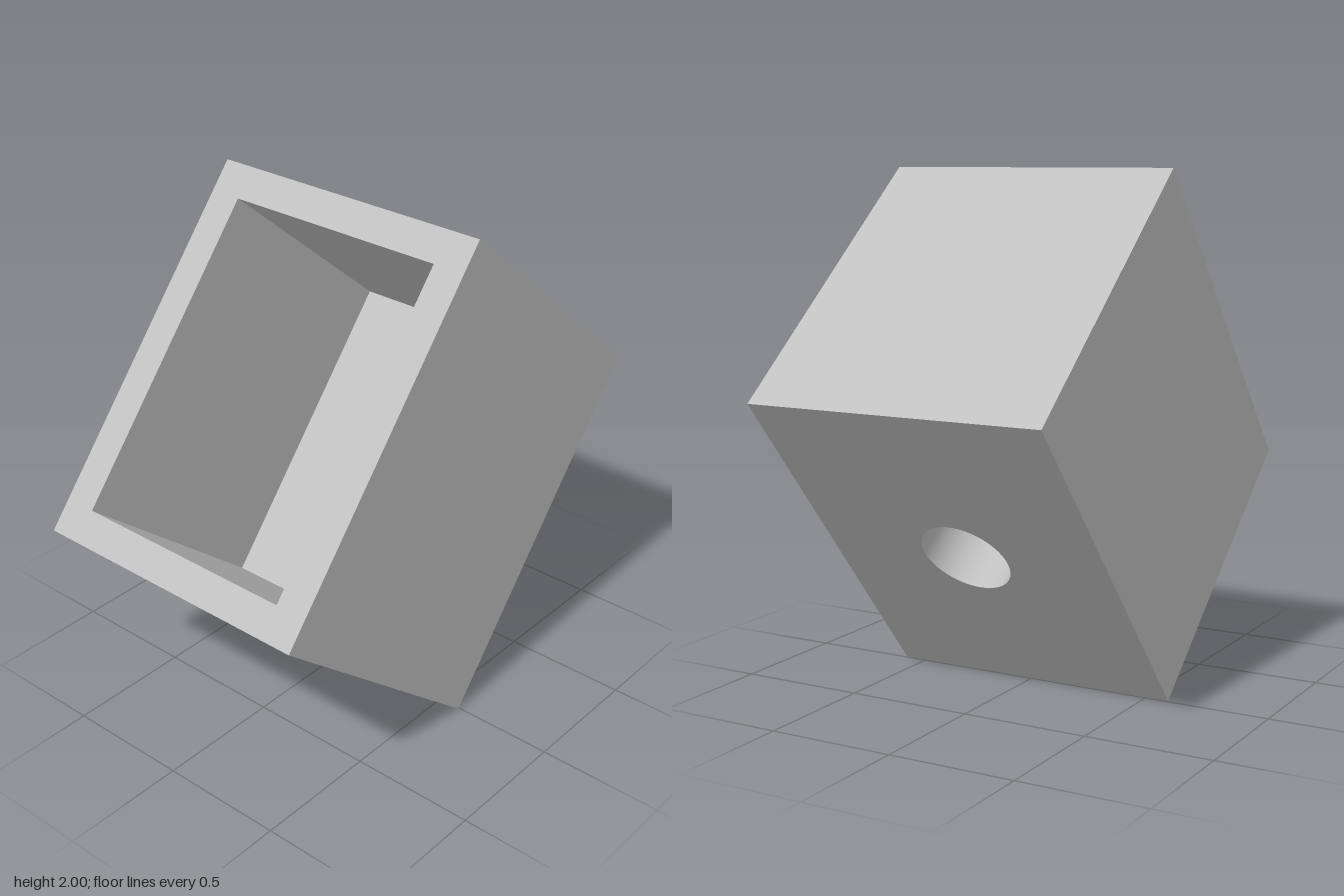
import * as THREE from 'three';

const W = 1.185, H = 1.54, D = 1.275;   // outer size
const WALL = 0.13, CAVITY = 1.01;       // side wall thickness, cavity depth
const BORE = 0.178;                     // radius of the hole in the back wall
const IW = W - 2 * WALL, IH = H - 2 * WALL;
const FLOOR_Z = D / 2 - CAVITY;

function rect(w, h, Type = THREE.Shape) {
  return new Type([[-1, -1], [1, -1], [1, 1], [-1, 1]]
    .map(([x, y]) => new THREE.Vector2(x * w / 2, y * h / 2)));
}

// flat rectangle with one hole, facing +z
function plate(w, h, hole) {
  const shape = rect(w, h);
  shape.holes.push(hole);
  return new THREE.ShapeGeometry(shape, 32);
}

// four sides of a box, without front and back
function sleeve(w, h, d) {
  const g = new THREE.BoxGeometry(w, h, d);
  g.setIndex(Array.from(g.index.array).slice(0, 24));
  g.clearGroups();
  return g;
}

// turn a surface inside out
function flip(g) {
  g.setIndex(Array.from(g.index.array).reverse());
  const n = g.attributes.normal;
  for (let i = 0; i < n.count; i++) n.setXYZ(i, -n.getX(i), -n.getY(i), -n.getZ(i));
  return g;
}

export function createModel() {
  const model = new THREE.Group();
  model.name = 'tiltedBox';
  const gray = new THREE.MeshStandardMaterial({ color: 0xc0c0c0 });
  gray.name = 'light gray';

  const housing = new THREE.Group();
  housing.name = 'housing';
  const add = (name, geometry, z = 0) => {
    const mesh = new THREE.Mesh(geometry, gray);
    mesh.name = name;
    mesh.position.z = z;
    housing.add(mesh);
    return mesh;
  };
  const circle = () => new THREE.Path().absarc(0, 0, BORE, 0, Math.PI * 2, true);

  // outer shell and front rim
  add('outerWalls', sleeve(W, H, D));
  add('frontRim', plate(W, H, rect(IW, IH, THREE.Path)), D / 2);

  // cavity
  add('cavityWalls', flip(sleeve(IW, IH, CAVITY)), D / 2 - CAVITY / 2);
  add('cavityFloor', plate(IW, IH, circle()), FLOOR_Z);

  // back face and the round hole through it
  add('backFace', plate(W, H, circle()), -D / 2).rotation.y = Math.PI;
  const depth = FLOOR_Z + D / 2;
  const bore = flip(new THREE.CylinderGeometry(BORE, BORE, depth, 64, 1, true));
  add('backHole', bore.rotateX(Math.PI / 2), -D / 2 + depth / 2);

  // lean back so the box balances on its lower back edge
  housing.rotation.x = -40 * Math.PI / 180;
  housing.position.y = 1;
  model.add(housing);
  return model;
}
